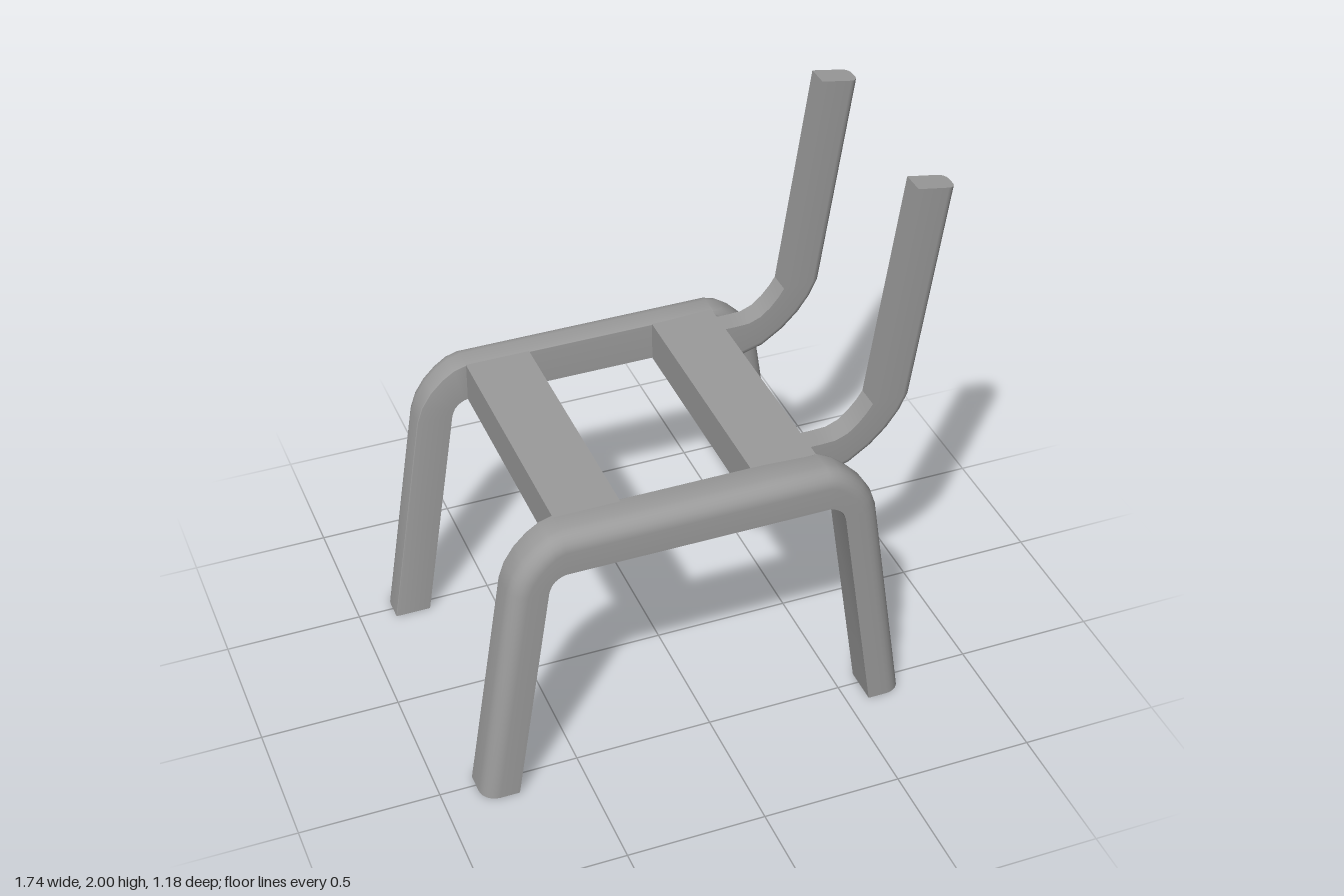
import * as THREE from 'three';
import { toCreasedNormals } from 'three/addons/utils/BufferGeometryUtils.js';

const material = new THREE.MeshStandardMaterial({ color: 0x9b9b9b });
const ARC = 6;

// Bar swept through sections [outerX, outerY, innerX, innerY, rA, rB].
// It spans zA..zB; its two outer edges are rounded with radii rA and rB.
function sweptBar(sections, zA, zB) {
  const pos = [], index = [], n = 2 * ARC + 4;
  for (const [ox, oy, ix, iy, rA, rB] of sections) {
    const depth = Math.hypot(ox - ix, oy - iy);
    const ring = [[zA, 0]];
    for (let i = 0; i <= ARC; i++) {
      const a = (i / ARC) * Math.PI / 2;
      ring.push([zA + rA * (1 - Math.cos(a)), depth - rA * (1 - Math.sin(a))]);
    }
    for (let i = 0; i <= ARC; i++) {
      const a = (i / ARC) * Math.PI / 2;
      ring.push([zB - rB * (1 - Math.sin(a)), depth - rB * (1 - Math.cos(a))]);
    }
    ring.push([zB, 0]);
    for (const [z, d] of ring) {
      const t = d / depth;
      pos.push(ix + (ox - ix) * t, iy + (oy - iy) * t, z);
    }
  }
  const last = (sections.length - 1) * n;
  for (let s = 0; s < last; s += n) {
    for (let i = 0; i < n; i++) {
      const a = s + i, b = s + (i + 1) % n;
      index.push(a, b, a + n, b, b + n, a + n);
    }
  }
  // end caps
  for (let i = 1; i < n - 1; i++) {
    index.push(0, i + 1, i, last, last + i, last + i + 1);
  }
  const g = new THREE.BufferGeometry();
  g.setAttribute('position', new THREE.Float32BufferAttribute(pos, 3));
  g.setIndex(index);
  return toCreasedNormals(g, 0.4);
}

export function createModel() {
  const group = new THREE.Group();
  const add = (name, geometry) => {
    const mesh = new THREE.Mesh(geometry, material);
    mesh.name = name;
    group.add(mesh);
    return mesh;
  };

  // half outline of a side frame, foot to seat, measured from x = -0.08
  const CX = -0.08, R = 0.06, SHARP = 0.003;
  const half = [
    [0.79, 0, 0.66, 0],
    [0.66, 0.86, 0.53, 0.86],
    [0.64, 0.92, 0.52, 0.885],
    [0.605, 0.975, 0.508, 0.899],
    [0.56, 1.02, 0.495, 0.908],
    [0.515, 1.05, 0.483, 0.914],
    [0.47, 1.063, 0.47, 0.917],
  ];
  // [..., inward-edge radius]: sharp at the front, fading to round at the rear
  const outline = [
    ...half.map(([a, b, c, d]) => [CX - a, b, CX - c, d, SHARP]),
    [0.2, 1.063, 0.2, 0.917, SHARP],
    ...half.slice().reverse().map(([a, b, c, d], i) =>
      [CX + a, b, CX + c, d, Math.min(R, 0.015 + 0.02 * i)]),
  ];

  // backrest post, from its top down and forward into the rear crossbar
  const post = [
    [0.867, 1.977, 0.73, 2],
    [0.752, 1.185, 0.613, 1.18],
    [0.725, 1.125, 0.59, 1.145],
    [0.68, 1.06, 0.56, 1.11],
    [0.62, 1, 0.525, 1.08],
    [0.54, 0.945, 0.48, 1.062],
    [0.45, 0.918, 0.43, 1.06],
    [0.37, 0.918, 0.37, 1.06],
  ].map(p => [...p, 0.028, 0.028]);

  // matching frames and posts on both sides
  for (const side of [1, -1]) {
    const label = side > 0 ? 'left' : 'right';
    const span = (a, b) => (side > 0 ? [a, b] : [-b, -a]);
    const frame = outline.map(([a, b, c, d, inward]) =>
      side > 0 ? [a, b, c, d, inward, R] : [a, b, c, d, R, inward]);
    add(label + 'LegFrame', sweptBar(frame, ...span(0.453, 0.589)));
    add(label + 'BackPost', sweptBar(post, ...span(0.333, 0.418)));
  }

  // seat crossbars
  for (const [name, x] of [['frontCrossbar', -0.4325], ['rearCrossbar', 0.2695]]) {
    add(name, new THREE.BoxGeometry(0.235, 0.146, 0.93)).position.set(x, 0.99, 0);
  }

  return group;
}
